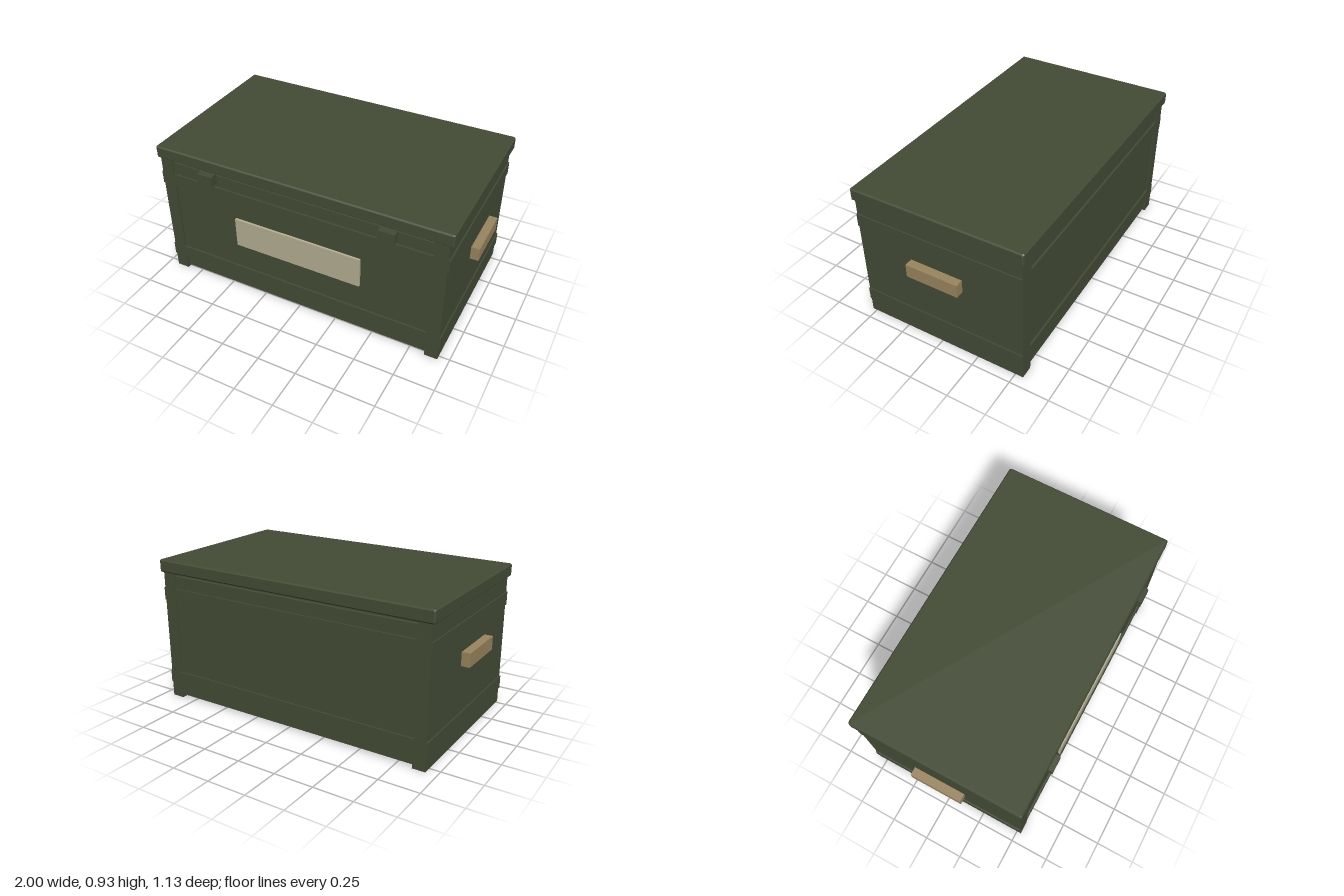
import * as THREE from 'three';

export function createModel() {
  const model = new THREE.Group();
  model.name = 'storageChest';

  const material = (name, color) => {
    const m = new THREE.MeshStandardMaterial({ color });
    m.name = name;
    return m;
  };
  const green = material('olive green paint', 0x434c36);
  const wood = material('bare wood', 0x9a855e);
  const cream = material('cream label', 0xb3ae92);

  // Box given by its lower and upper limits on each axis
  const box = (name, mat, [x0, x1], [y0, y1], [z0, z1]) => {
    const mesh = new THREE.Mesh(new THREE.BoxGeometry(x1 - x0, y1 - y0, z1 - z0), mat);
    mesh.position.set((x0 + x1) / 2, (y0 + y1) / 2, (z0 + z1) / 2);
    mesh.name = name;
    model.add(mesh);
    return mesh;
  };
  const mirrored = (side, a, b) => (side > 0 ? [a, b] : [-b, -a]);

  const front = 0.528, back = -0.55, recess = 0.012;
  const rails = [[0.095, 0.18], [0.667, 0.75]];

  // Inner core with floor, set back behind the long panels
  box('core', green, [-0.85, 0.85], [0.003, 0.84], [back + 0.035, front - 0.035]);

  // Recessed long panels and the rails across them
  box('frontPanel', green, [-0.85, 0.85], [0.02, 0.83], [front - 0.036, front - recess]);
  box('backPanel', green, [-0.85, 0.85], [0.02, 0.83], [back + recess, back + 0.036]);
  for (const y of rails) {
    box('frontRail', green, [-0.85, 0.85], y, [front - recess - 0.002, front]);
    box('backRail', green, [-0.85, 0.85], y, [back, back + recess + 0.002]);
  }

  for (const side of [-1, 1]) {
    // End boards, battens and grab handles
    box('endBoard', green, mirrored(side, 0.85, 0.932), [0, 0.853], [back, front]);
    for (const y of rails) {
      box('endBatten', green, mirrored(side, 0.931, 0.94), y, [back, front]);
    }
    box('handle', wood, mirrored(side, 0.948, 1), [0.497, 0.582], [-0.18, 0.157]);

    // Front latches
    box('latch', green, mirrored(side, 0.537, 0.637), [0.775, 0.842], [front - 0.014, 0.567]);
  }

  // Label plate
  box('label', cream, [-0.42, 0.42], [0.358, 0.557], [front - recess - 0.001, front + 0.003]);

  // Lid with chamfered edges
  const bevel = 0.008, hx = 0.953 - bevel, hz = 0.552 - bevel, c = 0.004;
  const outline = new THREE.Shape([
    [-hx + c, -hz], [hx - c, -hz], [hx, -hz + c], [hx, hz - c],
    [hx - c, hz], [-hx + c, hz], [-hx, hz - c], [-hx, -hz + c],
  ].map(([x, y]) => new THREE.Vector2(x, y)));
  const lidGeometry = new THREE.ExtrudeGeometry(outline, {
    depth: 0.08 - 2 * bevel, bevelEnabled: true, bevelSegments: 1,
    bevelSize: bevel, bevelThickness: bevel,
  });
  lidGeometry.rotateX(-Math.PI / 2);
  const lid = new THREE.Mesh(lidGeometry, green);
  lid.position.set(0, 0.852 + bevel, -0.013);
  lid.name = 'lid';
  model.add(lid);

  return model;
}
